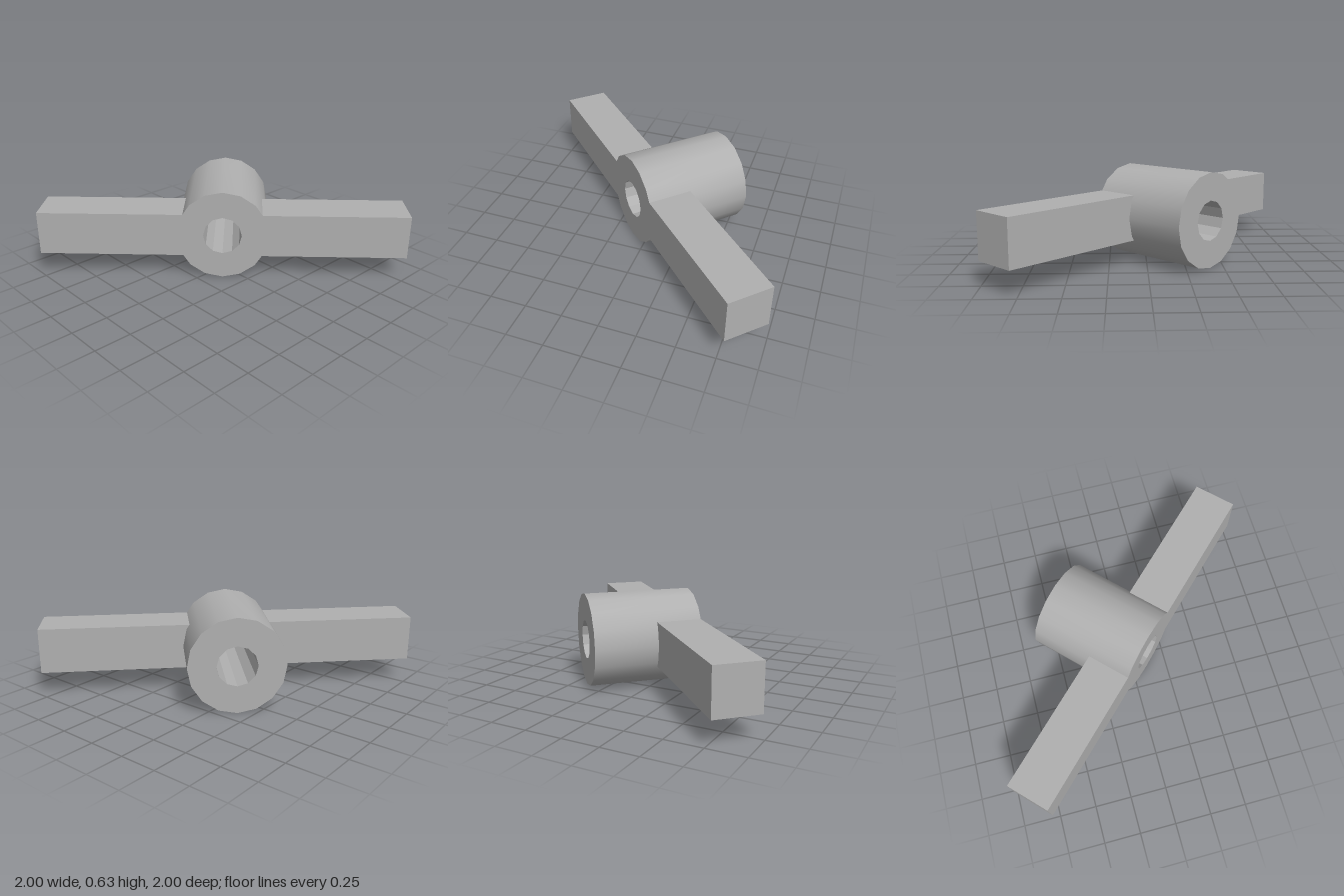
import * as THREE from 'three';
import { toCreasedNormals } from 'three/addons/utils/BufferGeometryUtils.js';

const HUB_R = 0.315, BORE_R = 0.132, HUB_LENGTH = 0.724;
const ARM = 0.302, ARM_INNER = 0.265, ARM_OUTER = 1.263;

// Corner points of a regular polygon
function ring(radius, sides) {
  return Array.from({ length: sides }, (_, i) => {
    const a = (i / sides) * Math.PI * 2;
    return new THREE.Vector2(radius * Math.cos(a), radius * Math.sin(a));
  });
}

export function createModel() {
  const model = new THREE.Group();
  model.name = 'crossHandle';
  const grey = new THREE.MeshStandardMaterial({ color: 0xb0b0b0 });
  grey.name = 'plain grey';

  // Hub: smooth 16-sided outside, faceted 12-sided bore
  const profile = new THREE.Shape(ring(HUB_R, 16));
  profile.holes.push(new THREE.Path(ring(BORE_R, 12)));
  const hubGeometry = new THREE.ExtrudeGeometry(profile, { depth: HUB_LENGTH, bevelEnabled: false });
  const hub = new THREE.Mesh(toCreasedNormals(hubGeometry, Math.PI / 7), grey);
  hub.name = 'hub';
  hub.position.z = ARM / 2 - HUB_LENGTH;
  model.add(hub);

  // Two square arms, flush with the front of the hub
  for (const side of [-1, 1]) {
    const arm = new THREE.Mesh(new THREE.BoxGeometry(ARM_OUTER - ARM_INNER, ARM, ARM), grey);
    arm.name = side > 0 ? 'leftArm' : 'rightArm';
    arm.position.x = side * (ARM_OUTER + ARM_INNER) / 2;
    model.add(arm);
  }

  model.position.y = HUB_R;
  model.rotation.y = -Math.PI / 4;
  const root = new THREE.Group();
  root.name = 'model';
  root.add(model);
  return root;
}
